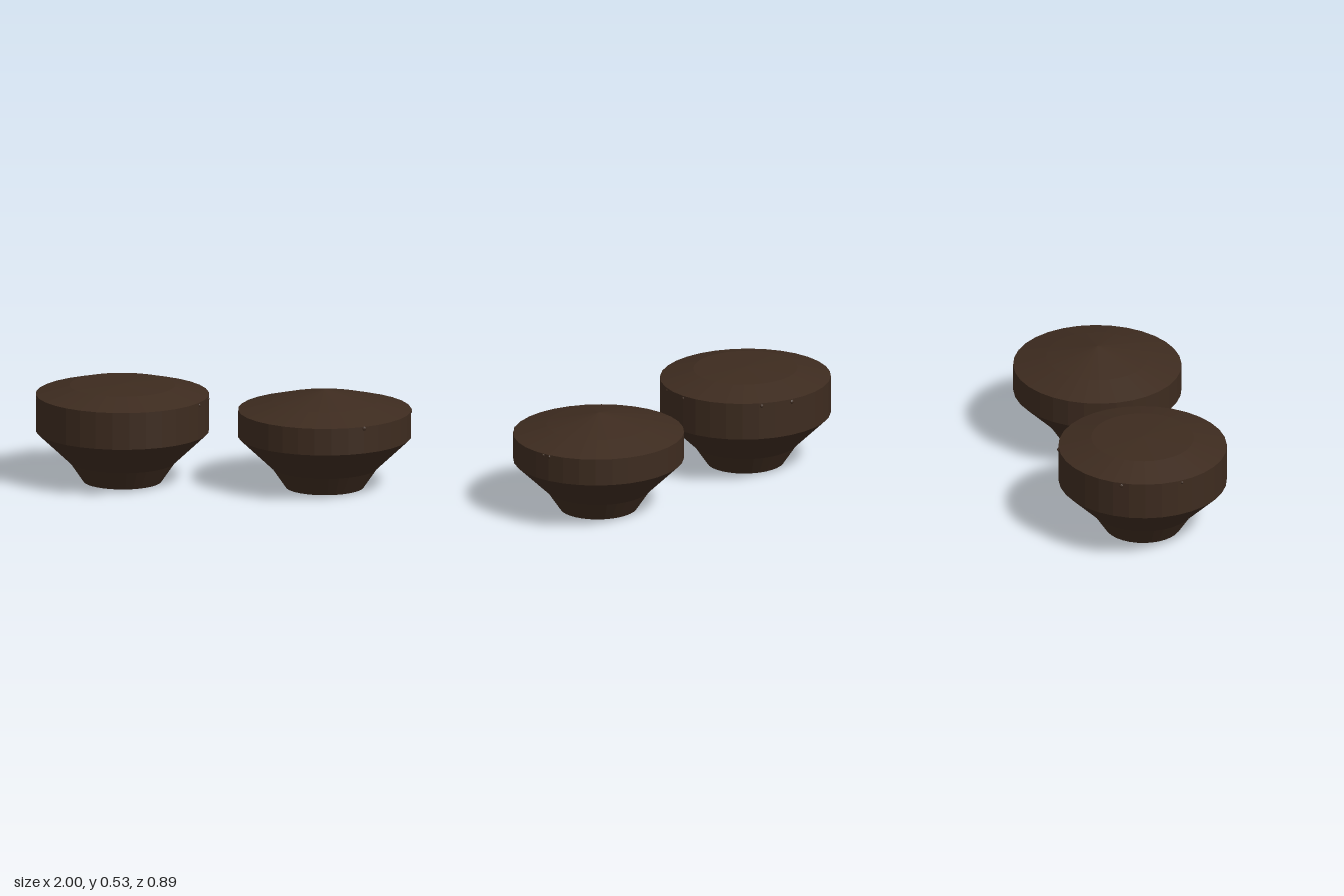
import * as THREE from 'three';

const SEGMENTS = 32;
const DEPTH = 0.97; // pots are slightly narrower in z than in x
const RADIUS = 0.46;

// Outer silhouette shared by both pots: [radius, height]
const BODY = [[0, 0], [0.208, 0], [0.28, 0.105], [RADIUS, 0.275]];

export function createModel() {
  const group = new THREE.Group();
  const brown = new THREE.MeshStandardMaterial({ color: 0x3d2b1f, flatShading: true });
  brown.name = 'dark brown';

  // One pot: body with wall, closed lid, and small beads around the rim
  function pot(name, x, rimY, lidProfile, beadY, beads) {
    const p = new THREE.Group();
    p.name = name;
    p.position.x = x;

    const lathe = (part, profile) => {
      const pts = profile.map(([r, y]) => new THREE.Vector2(r, y));
      const mesh = new THREE.Mesh(new THREE.LatheGeometry(pts, SEGMENTS), brown);
      mesh.geometry.scale(1, 1, DEPTH);
      mesh.name = part;
      p.add(mesh);
    };
    lathe('body', [...BODY, [RADIUS, rimY]]);
    lathe('lid', [[RADIUS, rimY], ...lidProfile]);

    // Beads: [angle in degrees from +x towards +z, radius]
    for (const [deg, r] of beads) {
      const a = THREE.MathUtils.degToRad(deg);
      const bead = new THREE.Mesh(new THREE.SphereGeometry(r, 10, 8), brown);
      bead.position.set(Math.cos(a) * 0.455, beadY, Math.sin(a) * 0.455 * DEPTH);
      bead.name = 'bead';
      p.add(bead);
    }
    group.add(p);
  }

  pot('tallPot', -0.54, 0.475, [[0.28, 0.523], [0, 0.53]], 0.46,
    [[-80, 0.012], [-58, 0.011], [-152, 0.011], [165, 0.009], [0, 0.01], [20, 0.009]]);
  pot('shortPot', 0.54, 0.42, [[0.28, 0.469], [0, 0.53]], 0.41,
    [[56, 0.012], [-6.5, 0.009], [-11.5, 0.01]]);

  return group;
}
